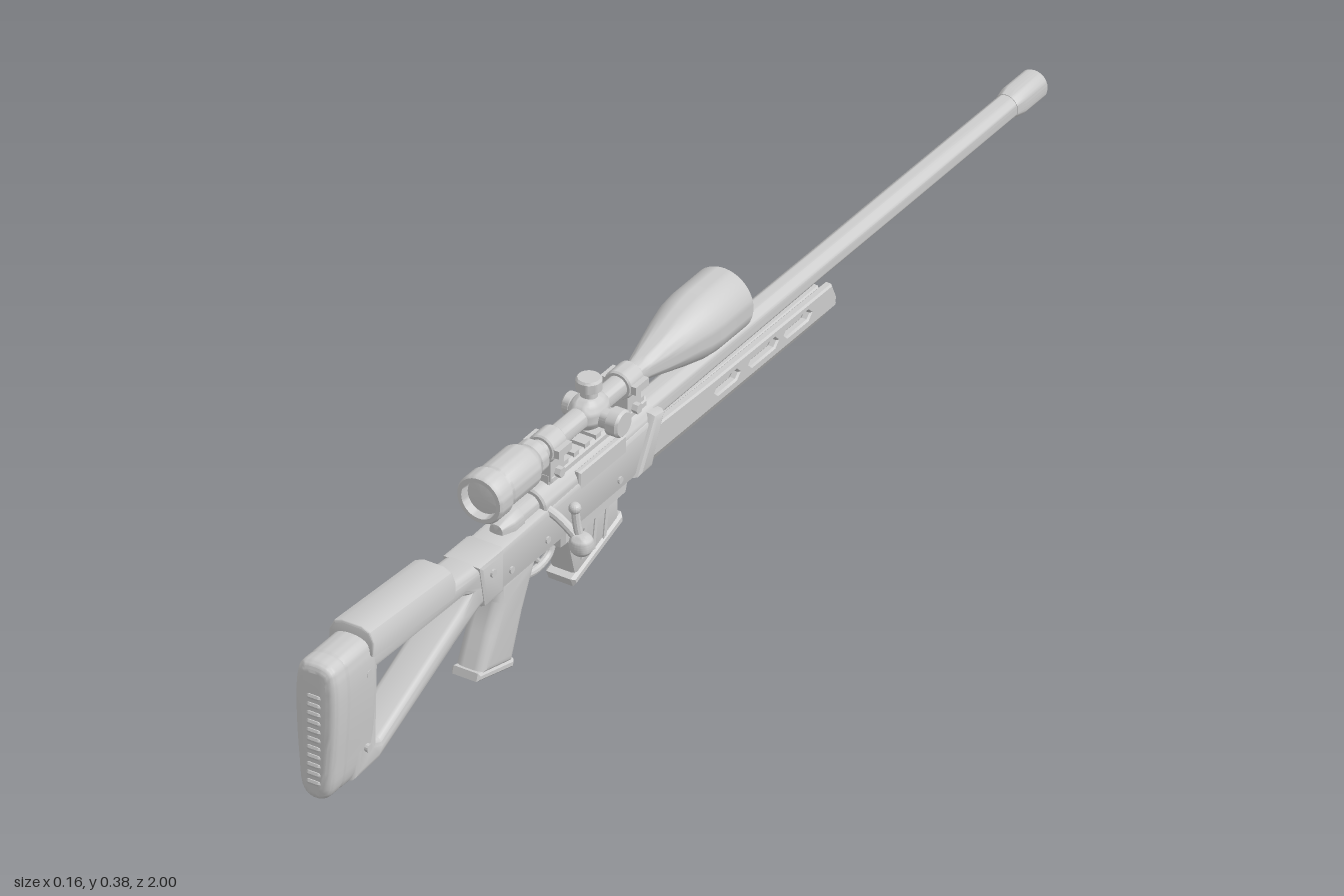
import * as THREE from 'three';
import { toCreasedNormals } from 'three/addons/utils/BufferGeometryUtils.js';

const material = new THREE.MeshStandardMaterial({ color: 0xcccccc, side: THREE.DoubleSide });
const vectors = (pts) => pts.map(([a, b]) => new THREE.Vector2(a, b));

export function createModel() {
  const model = new THREE.Group();
  const body = new THREE.Group();
  body.name = 'rifle';
  body.position.x = -0.025; // everything but the bolt handle is symmetric about this plane
  model.add(body);

  const add = (name, geometry, x = 0, y = 0, z = 0) => {
    const mesh = new THREE.Mesh(toCreasedNormals(geometry, 0.6), material);
    mesh.name = name;
    mesh.position.set(x, y, z);
    body.add(mesh);
    return mesh;
  };

  const extrude = (pts, depth, bevel, segments, holes = []) => {
    const shape = new THREE.Shape(vectors(pts));
    shape.holes = holes.map((h) => new THREE.Path(vectors(h)));
    const geo = new THREE.ExtrudeGeometry(shape, {
      depth: depth - 2 * bevel, bevelEnabled: bevel > 0, bevelSize: bevel,
      bevelThickness: bevel, bevelOffset: -bevel, bevelSegments: segments,
    });
    return geo.translate(0, 0, bevel - depth / 2);
  };
  // Side outline of [z, y] points, thickened across x
  const side = (pts, width, bevel = 0.008, segments = 2, holes = []) =>
    extrude(pts, width, bevel, segments, holes).rotateY(-Math.PI / 2);
  // Turned profile of [radius, z] points, z rising
  const turned = (pts, n = 32) => new THREE.LatheGeometry(vectors(pts), n).rotateX(Math.PI / 2);
  const rod = (r, z0, z1, n = 28) => turned([[0, z0], [r * 0.9, z0], [r, z0 + 0.003], [r, z1 - 0.003], [r * 0.9, z1], [0, z1]], n);
  const tube = (pts, r, n = 24) => new THREE.TubeGeometry(
    new THREE.CatmullRomCurve3(pts.map((p) => new THREE.Vector3(...p))), n, r, 10);
  const smoothOutline = (pts, n) => new THREE.CatmullRomCurve3(
    pts.map(([x, y]) => new THREE.Vector3(x, y, 0)), true).getPoints(n).slice(0, -1).map((p) => [p.x, p.y]);

  // Barrel with hollow muzzle
  add('barrel', turned([[0, -0.94], [0.02, -0.94], [0.021, -0.6], [0.021, -0.39], [0.024, 0.12], [0, 0.12]]), 0, 0.247, 0);
  add('muzzle', turned([[0, -0.95], [0.014, -0.95], [0.015, -1], [0.022, -1], [0.025, -0.995],
    [0.025, -0.94], [0.021, -0.92], [0.018, -0.92]]), 0, 0.247, 0);

  // Handguard: core, slotted walls and a tapered keel
  add('handguardCore', side([[0.12, 0.18], [-0.36, 0.18], [-0.375, 0.2], [-0.37, 0.228], [0.12, 0.228]], 0.045, 0.004, 1));
  const slots = [[-0.056, -0.122], [-0.15, -0.228], [-0.248, -0.32]].map(([a, b]) =>
    [[a, 0.212], [a - 0.008, 0.22], [b + 0.008, 0.22], [b, 0.212], [b + 0.008, 0.204], [a - 0.008, 0.204]]);
  for (const s of [-1, 1]) {
    add('handguardWall', side([[0.14, 0.188], [-0.39, 0.188], [-0.392, 0.205], [-0.38, 0.232], [-0.05, 0.235], [0.11, 0.24]],
      0.015, 0.003, 1, slots), s * 0.0315, 0, 0);
  }
  const keel = side([[0.15, 0.163], [-0.365, 0.166], [-0.39, 0.193], [0.14, 0.193]], 0.078, 0, 1);
  const kp = keel.attributes.position;
  for (let i = 0; i < kp.count; i++) if (kp.getY(i) < 0.18) kp.setX(i, kp.getX(i) * 0.55);
  add('handguardKeel', keel);
  add('handguardCollar', side([[0.16, 0.17], [0.115, 0.17], [0.08, 0.255], [0.11, 0.26]], 0.08, 0.01, 2));

  // Receiver, bolt and rail
  add('receiver', side([[0.54, 0.238], [0.11, 0.25], [0.15, 0.168], [0.54, 0.163]], 0.066, 0.01, 2));
  add('receiverTube', rod(0.03, 0.09, 0.4), 0, 0.24, 0);
  add('bolt', turned([[0, 0.3], [0.019, 0.3], [0.019, 0.44], [0.022, 0.445], [0.022, 0.47], [0.012, 0.492], [0, 0.494]]), 0, 0.243, 0);
  add('ejectionPort', side([[0.31, 0.228], [0.18, 0.228], [0.18, 0.262], [0.31, 0.262]], 0.012, 0.003, 1), 0.027, 0, 0);
  add('scopeRail', side([[0.37, 0.264], [0.1, 0.264], [0.1, 0.282], [0.37, 0.282]], 0.038, 0.005, 1));
  for (let i = 0; i < 9; i++) add('railTooth', new THREE.BoxGeometry(0.034, 0.008, 0.014), 0, 0.284, 0.115 + i * 0.03);
  for (const s of [-1, 1]) for (const z of [0.2, 0.4, 0.5])
    add('receiverPin', new THREE.CylinderGeometry(0.006, 0.006, 0.006, 12).rotateZ(Math.PI / 2), s * 0.033, 0.19, z);

  // Bolt handle
  add('boltHandle', tube([[0.015, 0.242, 0.39], [0.045, 0.225, 0.385], [0.078, 0.195, 0.38]], 0.008));
  add('boltKnob', new THREE.SphereGeometry(0.02, 24, 16), 0.082, 0.189, 0.38);
  add('boltStem', tube([[0.08, 0.195, 0.38], [0.074, 0.22, 0.38], [0.07, 0.25, 0.38]], 0.007));
  add('boltStemTip', new THREE.SphereGeometry(0.01, 16, 12), 0.07, 0.25, 0.38);

  // Magazine
  add('magazineWell', side([[0.35, 0.185], [0.165, 0.185], [0.175, 0.15], [0.35, 0.145]], 0.06, 0.006, 1));
  add('magazine', side([[0.335, 0.17], [0.185, 0.17], [0.187, 0.11], [0.306, 0.067]], 0.046, 0.006, 2));
  add('magazineFloor', side([[0.32, 0.07], [0.313, 0.054], [0.178, 0.1], [0.18, 0.118]], 0.054, 0.005, 1));
  for (const s of [-1, 1]) for (const z of [0.225, 0.255, 0.285]) {
    add('magazineRib', new THREE.BoxGeometry(0.006, 0.06, 0.008), s * 0.022, 0.122, z).rotation.x = -0.15;
  }

  // Trigger and guard
  add('triggerGuard', tube([[0, 0.17, 0.435], [0, 0.13, 0.425], [0, 0.115, 0.385], [0, 0.125, 0.345], [0, 0.165, 0.335]], 0.007));
  add('trigger', tube([[0, 0.17, 0.39], [0, 0.15, 0.395], [0, 0.13, 0.38]], 0.006, 12));

  // Pistol grip
  add('grip', side([[0.52, 0.175], [0.41, 0.175], [0.425, 0.14], [0.45, 0.09], [0.482, 0.008], [0.572, 0.03], [0.545, 0.09], [0.52, 0.135]],
    0.054, 0.017, 4));
  add('gripCap', side([[0.482, 0], [0.478, 0.014], [0.576, 0.038], [0.58, 0.025]], 0.052, 0.004, 1));

  // Skeleton stock with triangular opening
  const opening = [[0.862, 0.21], [0.866, 0.08], [0.855, 0.076], [0.635, 0.18], [0.61, 0.2], [0.625, 0.206]];
  add('stock', side([[0.93, 0.26], [0.89, 0.255], [0.66, 0.245], [0.53, 0.238], [0.5, 0.235], [0.5, 0.165], [0.58, 0.163],
    [0.65, 0.135], [0.86, 0.04], [0.93, 0.036]], 0.064, 0.012, 3, [opening]));
  add('stockHinge', side([[0.59, 0.241], [0.52, 0.241], [0.52, 0.162], [0.575, 0.162]], 0.071, 0.008, 2));
  for (const s of [-1, 1]) for (const [z, y] of [[0.555, 0.215], [0.9, 0.22], [0.9, 0.085]])
    add('stockScrew', new THREE.CylinderGeometry(0.007, 0.007, 0.006, 12).rotateZ(Math.PI / 2), s * 0.036, y, z);

  // Butt and recoil pad
  const half = [[0.012, 0.03], [0.026, 0.045], [0.033, 0.1], [0.038, 0.18], [0.037, 0.24], [0.03, 0.267], [0.014, 0.275]];
  const buttOutline = smoothOutline([...half, ...half.slice().reverse().map(([x, y]) => [-x, y])], 48);
  add('butt', extrude(buttOutline, 0.09, 0.012, 3), 0, 0, 0.92);
  add('recoilPad', extrude(buttOutline, 0.05, 0.016, 5), 0, 0, 0.972);
  for (let i = 0; i < 11; i++)
    add('padRidge', new THREE.CapsuleGeometry(0.006, 0.016, 4, 8).rotateZ(Math.PI / 2), 0, 0.062 + i * 0.0155, 0.994);
  add('slingStud', new THREE.SphereGeometry(0.008, 12, 8), 0, 0.03, 0.95);

  // Cheek rest: an arched shell tilted up to the rear
  const arch = [[-0.041, -0.025], [-0.041, 0], [-0.033, 0.016], [-0.018, 0.022], [0.018, 0.022], [0.033, 0.016],
    [0.041, 0], [0.041, -0.025], [0.031, -0.025], [0.028, -0.008], [-0.028, -0.008], [-0.031, -0.025]];
  add('cheekRest', extrude(arch, 0.23, 0.004, 3), 0, 0.265, 0.778).rotation.x = -0.06;
  for (const z of [0.72, 0.83]) add('cheekPost', new THREE.CylinderGeometry(0.012, 0.012, 0.05, 16), 0, 0.25, z);

  // Scope
  const scopeY = 0.325;
  add('scopeBody', turned([[0, -0.11], [0.045, -0.115], [0.047, -0.14], [0.053, -0.14], [0.055, -0.136], [0.055, -0.06],
    [0.052, -0.03], [0.043, 0.01], [0.03, 0.06], [0.022, 0.09], [0.018, 0.105], [0.018, 0.395], [0.026, 0.405], [0.036, 0.42],
    [0.038, 0.425], [0.038, 0.495], [0.036, 0.498], [0.036, 0.503], [0.042, 0.507], [0.042, 0.535], [0.039, 0.54],
    [0.032, 0.54], [0.03, 0.525], [0, 0.53]], 40), 0, scopeY, 0);
  add('magnificationRing', rod(0.029, 0.385, 0.408), 0, scopeY, 0);
  add('turretHousing', new THREE.SphereGeometry(0.03, 24, 16).scale(1, 1, 1.3), 0, scopeY, 0.235);
  const turret = () => new THREE.LatheGeometry(vectors([[0, 0], [0.014, 0], [0.014, 0.036], [0.021, 0.04], [0.021, 0.056], [0.018, 0.06], [0, 0.06]]), 24);
  add('elevationTurret', turret(), 0, scopeY, 0.235);
  add('windageTurret', turret().scale(1.1, 1.08, 1.1).rotateZ(-Math.PI / 2), 0, scopeY - 0.004, 0.235);
  add('focusTurret', turret().scale(0.9, 0.68, 0.9).rotateZ(Math.PI / 2), 0, scopeY, 0.235);

  // Scope rings with clamp screws
  for (const z of [0.35, 0.137]) {
    add('scopeRing', rod(0.025, z - 0.02, z + 0.02), 0, scopeY, 0);
    add('ringBase', new THREE.BoxGeometry(0.036, 0.04, 0.038), 0, 0.292, z);
    for (const s of [-1, 1]) {
      add('ringClamp', new THREE.BoxGeometry(0.014, 0.014, 0.036), s * 0.026, scopeY, z);
      add('ringNut', new THREE.CylinderGeometry(0.009, 0.009, 0.012, 6).rotateZ(Math.PI / 2), s * 0.022, 0.283, z);
    }
  }
  return model;
}
